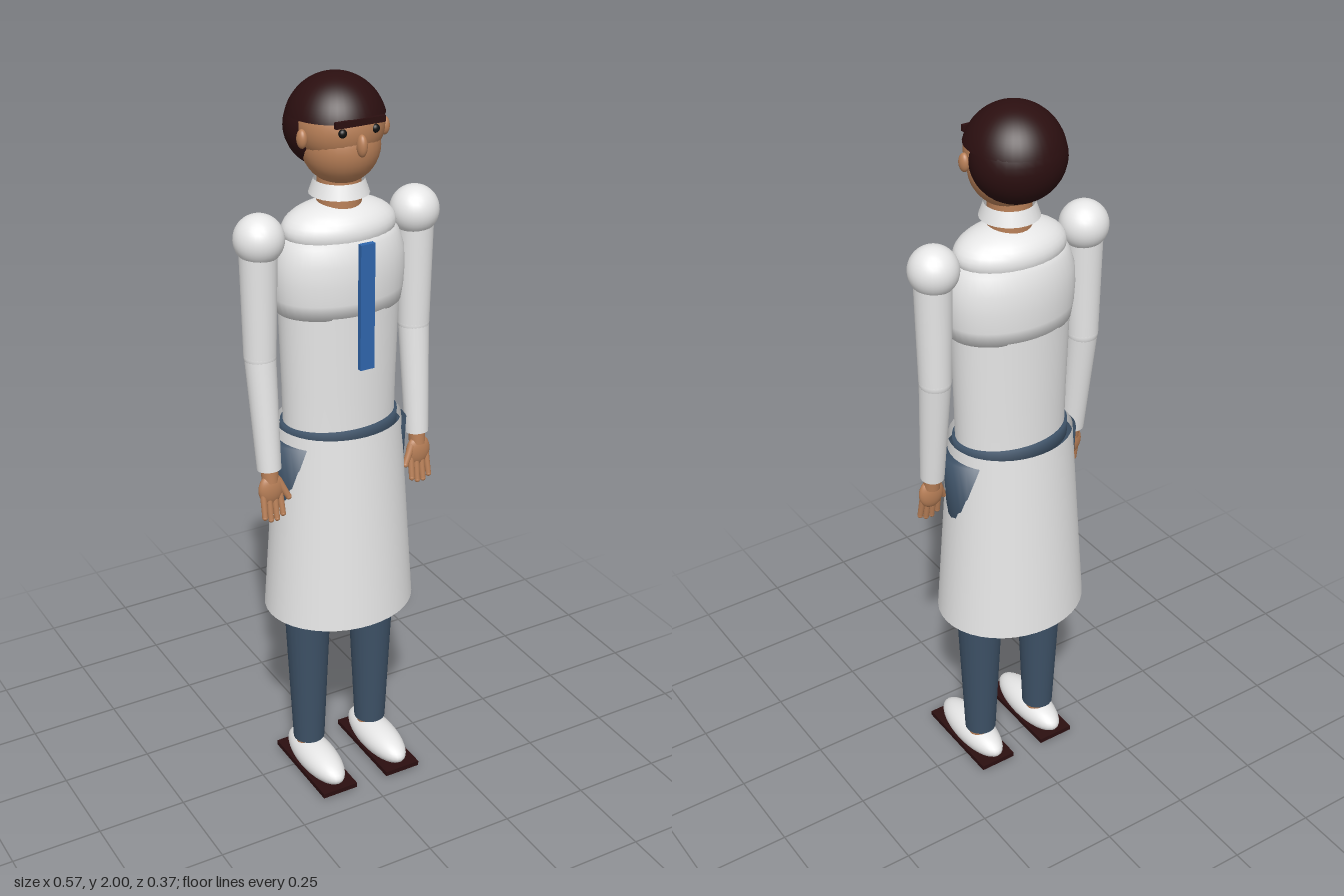
import * as THREE from 'three';

const mat = (name, color, side = THREE.FrontSide) => {
  const m = new THREE.MeshStandardMaterial({ color, side });
  m.name = name;
  return m;
};

export function createModel() {
  const root = new THREE.Group();
  root.name = 'cook';
  const white = mat('white cloth', 0xeeeeee, THREE.DoubleSide);
  const navy = mat('navy trousers', 0x3d5166, THREE.DoubleSide);
  const skin = mat('skin', 0xb98058);
  const dark = mat('dark brown', 0x2b0f10, THREE.DoubleSide);
  const blue = mat('blue tie', 0x2f66ad);
  const black = mat('black eye', 0x111111);

  const add = (name, geo, material, pos = [0, 0, 0], scale = [1, 1, 1]) => {
    const mesh = new THREE.Mesh(geo, material);
    mesh.name = name;
    mesh.position.set(...pos);
    mesh.scale.set(...scale);
    root.add(mesh);
    return mesh;
  };
  const ball = new THREE.SphereGeometry(1, 32, 20);
  const blob = (name, material, pos, radii) => add(name, ball, material, pos, radii);
  const box = (name, material, pos, size) => add(name, new THREE.BoxGeometry(...size), material, pos);
  // Elliptical turned shape: profile of [radius in x, height], flattened in z
  const turned = (name, material, profile, flat, z = 0) =>
    add(name, new THREE.LatheGeometry(profile.map(p => new THREE.Vector2(...p)), 40), material, [0, 0, z], [1, 1, flat]);
  // Tapered limb between two points
  const limb = (name, material, a, b, ra, rb, open = false) => {
    const from = new THREE.Vector3(...a), to = new THREE.Vector3(...b);
    const dir = to.clone().sub(from);
    const mesh = add(name, new THREE.CylinderGeometry(rb, ra, dir.length(), 24, 1, open), material);
    mesh.position.copy(from).addScaledVector(dir, 0.5);
    mesh.quaternion.setFromUnitVectors(new THREE.Vector3(0, 1, 0), dir.normalize());
    return mesh;
  };

  // Head
  blob('skull', skin, [0, 1.88, 0], [0.113, 0.1, 0.106]);
  blob('jaw', skin, [0, 1.83, 0.005], [0.099, 0.098, 0.1]);
  blob('nose', skin, [0, 1.852, 0.11], [0.013, 0.028, 0.016]);
  add('hairCap', new THREE.SphereGeometry(1, 40, 20, 0, Math.PI * 2, 0, 1.3), dark, [0, 1.87, -0.021], [0.127, 0.13, 0.13]);
  blob('hairBack', dark, [0, 1.87, -0.04], [0.123, 0.112, 0.109]);
  box('fringe', dark, [0, 1.908, 0.1], [0.136, 0.016, 0.01]);

  // Neck and collar
  limb('neck', skin, [0, 1.66, -0.002], [0, 1.76, -0.002], 0.057, 0.055);
  limb('collar', white, [0, 1.705, -0.002], [0, 1.742, -0.002], 0.077, 0.064, true);

  // Torso
  blob('shoulders', white, [0, 1.62, -0.004], [0.155, 0.07, 0.105]);
  turned('chest', white, [[0, 1.41], [0.17, 1.41], [0.177, 1.45], [0.18, 1.5], [0.177, 1.55],
    [0.162, 1.595], [0.142, 1.618], [0, 1.62]], 0.68, -0.004);
  turned('waist', white, [[0.156, 1.095], [0.158, 1.2], [0.165, 1.415]], 0.71, -0.004);
  box('tie', blue, [0, 1.447, 0.137], [0.04, 0.335, 0.014]);

  // Trouser seat and apron skirt
  turned('waistband', navy, [[0, 1.04], [0.164, 1.04], [0.164, 1.097], [0, 1.097]], 0.71, -0.004);
  turned('hips', navy, [[0, 0.82], [0.16, 0.82], [0.186, 0.87], [0.195, 1.055], [0, 1.055]], 0.63, -0.004);
  turned('apronSkirt', white, [[0.21, 0.53], [0.171, 1.087]], 0.86, -0.006);

  for (const [s, side] of [[1, 'left'], [-1, 'right']]) {
    blob(side + 'Eye', black, [s * 0.045, 1.885, 0.096], [0.011, 0.011, 0.009]);
    blob(side + 'Ear', skin, [s * 0.114, 1.862, 0.02], [0.013, 0.024, 0.016]);

    // Arm
    blob(side + 'Shoulder', white, [s * 0.222, 1.619, -0.006], [0.0645, 0.0645, 0.0645]);
    limb(side + 'UpperArm', white, [s * 0.226, 1.31, -0.006], [s * 0.225, 1.62, -0.006], 0.042, 0.049);
    blob(side + 'Elbow', white, [s * 0.226, 1.31, -0.006], [0.042, 0.042, 0.042]);
    limb(side + 'Forearm', white, [s * 0.223, 1.0, 0.026], [s * 0.226, 1.31, -0.006], 0.032, 0.041);

    // Hand
    limb(side + 'Wrist', skin, [s * 0.223, 0.965, 0.031], [s * 0.223, 1.01, 0.026], 0.022, 0.023);
    blob(side + 'Palm', skin, [s * 0.223, 0.945, 0.035], [0.036, 0.044, 0.018]);
    for (let i = 0; i < 4; i++) {
      const x = 0.197 + i * 0.0175, tip = i === 0 || i === 3 ? 0.872 : 0.862;
      limb(side + 'Finger', skin, [s * x, tip, 0.05], [s * (x * 0.9 + 0.0223), 0.94, 0.036], 0.0075, 0.009);
      blob(side + 'Fingertip', skin, [s * x, tip, 0.05], [0.0078, 0.0078, 0.0078]);
    }
    limb(side + 'Thumb', skin, [s * 0.178, 0.915, 0.046], [s * 0.203, 0.965, 0.036], 0.008, 0.011);
    blob(side + 'ThumbTip', skin, [s * 0.178, 0.915, 0.046], [0.0083, 0.0083, 0.0083]);

    // Leg and shoe
    limb(side + 'TrouserLeg', navy, [s * 0.1, 0.09, 0], [s * 0.1, 0.94, -0.004], 0.044, 0.083);
    limb(side + 'Ankle', skin, [s * 0.1, 0.05, 0], [s * 0.1, 0.1, 0], 0.036, 0.036);
    blob(side + 'Shoe', white, [s * 0.1, 0.045, 0.043], [0.053, 0.045, 0.139]);
    box(side + 'Sole', dark, [s * 0.101, 0.016, 0.046], [0.106, 0.014, 0.283]);
  }
  return root;
}
